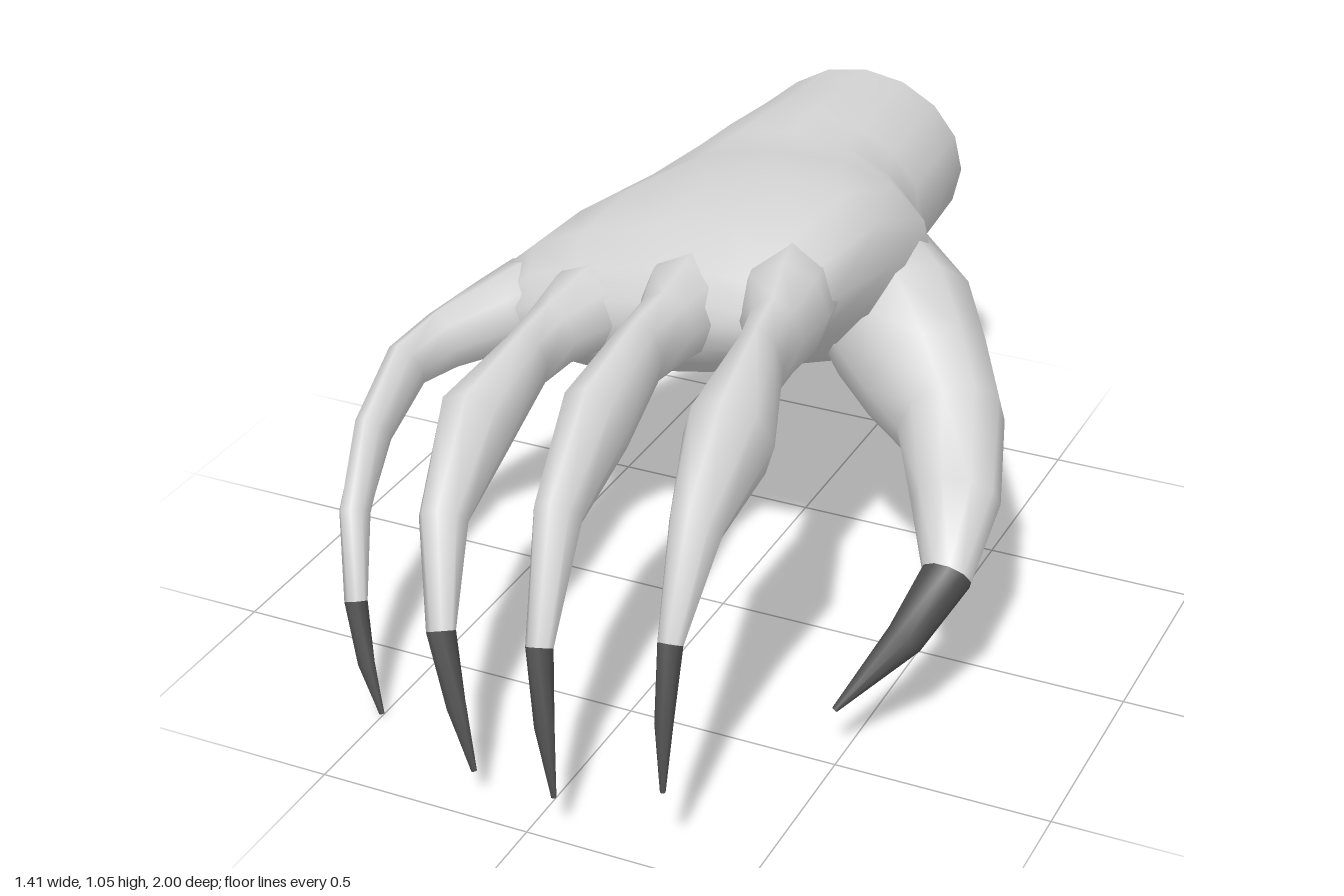
import * as THREE from 'three';

const skin = new THREE.MeshStandardMaterial({ color: 0xd4d4d4, side: THREE.DoubleSide });
skin.name = 'greySkin';
const claw = new THREE.MeshStandardMaterial({ color: 0x505050 });
claw.name = 'darkClaw';

// Skins a list of equal-length rings; the far end is closed with a fan.
function skinRings(rings) {
  const n = rings[0].length, pos = [], idx = [];
  rings.forEach(r => r.forEach(p => pos.push(p.x, p.y, p.z)));
  for (let i = 0; i < rings.length - 1; i++) {
    for (let j = 0; j < n; j++) {
      const a = i * n + j, b = i * n + (j + 1) % n;
      idx.push(a, b, a + n, b, b + n, a + n);
    }
  }
  const last = rings[rings.length - 1];
  const mid = last.reduce((s, p) => s.add(p), new THREE.Vector3()).divideScalar(n);
  pos.push(mid.x, mid.y, mid.z);
  const start = (rings.length - 1) * n;
  for (let j = 0; j < n; j++) idx.push(start + j, start + (j + 1) % n, start + n);
  const g = new THREE.BufferGeometry();
  g.setAttribute('position', new THREE.Float32BufferAttribute(pos, 3));
  g.setIndex(idx);
  g.computeVertexNormals();
  return g;
}

// Elliptical rings square to a path of [x, y, z, halfWidth, halfHeight].
function pathRings(path, sides) {
  const pts = path.map(p => new THREE.Vector3(p[0], p[1], p[2]));
  const worldUp = new THREE.Vector3(0, 1, 0);
  return path.map((p, i) => {
    const before = pts[Math.max(i - 1, 0)], after = pts[Math.min(i + 1, pts.length - 1)];
    const t = after.clone().sub(before).normalize();
    const side = worldUp.clone().cross(t).normalize();
    const up = t.clone().cross(side);
    return Array.from({ length: sides }, (_, j) => {
      const a = j / sides * Math.PI * 2;
      return pts[i].clone()
        .addScaledVector(side, Math.cos(a) * p[3])
        .addScaledVector(up, Math.sin(a) * p[4]);
    });
  });
}

// A digit path is fleshy except for its last two rings, which form the claw.
function makeDigit(name, path, sides) {
  const group = new THREE.Group();
  group.name = name;
  const rings = pathRings(path, sides), k = rings.length - 3;
  const flesh = new THREE.Mesh(skinRings(rings.slice(0, k + 1)), skin);
  flesh.name = name + 'Flesh';
  const nail = new THREE.Mesh(skinRings(rings.slice(k)), claw);
  nail.name = name + 'Claw';
  group.add(flesh, nail);
  return group;
}

// Forearm stump, wrist and palm:
// [z, centreX, halfWidth, centreY, halfHeight, tilt, shear, roundness]
const palmSections = [
  [-1.00, -0.065, 0.265, 0.775, 0.225, 0, 0, 1],
  [-0.82, -0.06, 0.28, 0.785, 0.225, 0, 0, 1],
  [-0.64, -0.06, 0.30, 0.795, 0.225, 0, 0, 1],
  [-0.55, -0.07, 0.335, 0.765, 0.24, 0.04, 0, 0.95],
  [-0.42, -0.07, 0.42, 0.725, 0.28, 0.14, 0, 0.88],
  [-0.20, -0.125, 0.455, 0.765, 0.255, 0.26, 0, 0.85],
  [0.00, -0.165, 0.445, 0.785, 0.185, 0.23, 0.06, 0.85],
  [0.09, -0.16, 0.42, 0.785, 0.12, 0.22, 0.12, 0.85],
  [0.14, -0.15, 0.37, 0.785, 0.06, 0.22, 0.12, 0.85]
];

function makePalm() {
  const sides = 16;
  const soft = (v, e) => Math.sign(v) * Math.pow(Math.abs(v), e);
  const rings = palmSections.map(([z, cx, hw, cy, hh, tilt, shear, e]) =>
    Array.from({ length: sides }, (_, j) => {
      const a = j / sides * Math.PI * 2;
      const dx = soft(Math.cos(a), e) * hw;
      return new THREE.Vector3(cx + dx, cy + tilt * dx + soft(Math.sin(a), e) * hh, z + shear * dx);
    }));
  const mesh = new THREE.Mesh(skinRings(rings), skin);
  mesh.name = 'palmAndWrist';
  return mesh;
}

// Each digit starts thin inside the palm so that its knuckle rises gently.
const digits = {
  thumb: [
    [0.06, 0.74, -0.52, 0.10, 0.12],
    [0.18, 0.72, -0.43, 0.165, 0.19],
    [0.32, 0.67, -0.31, 0.18, 0.20],
    [0.42, 0.61, -0.21, 0.155, 0.175],
    [0.515, 0.555, -0.12, 0.125, 0.145],
    [0.605, 0.475, 0.08, 0.10, 0.09],
    [0.648, 0.385, 0.24, 0.058, 0.06],
    [0.60, 0.28, 0.36, 0.042, 0.045],
    [0.49, 0.14, 0.485, 0.007, 0.007]
  ],
  indexFinger: [
    [0.14, 0.87, -0.12, 0.07, 0.09],
    [0.17, 0.87, 0.00, 0.11, 0.13],
    [0.19, 0.87, 0.10, 0.105, 0.125],
    [0.22, 0.865, 0.22, 0.065, 0.105],
    [0.235, 0.86, 0.33, 0.055, 0.10],
    [0.27, 0.80, 0.56, 0.10, 0.13],
    [0.285, 0.70, 0.75, 0.06, 0.075],
    [0.30, 0.51, 0.91, 0.028, 0.03],
    [0.31, 0.35, 0.965, 0.02, 0.021],
    [0.318, 0.20, 0.99, 0.006, 0.007]
  ],
  middleFinger: [
    [-0.06, 0.84, -0.12, 0.07, 0.08],
    [-0.05, 0.84, 0.00, 0.115, 0.12],
    [-0.045, 0.84, 0.10, 0.11, 0.11],
    [-0.04, 0.835, 0.22, 0.07, 0.095],
    [-0.045, 0.83, 0.34, 0.058, 0.09],
    [-0.04, 0.775, 0.56, 0.08, 0.11],
    [-0.035, 0.65, 0.75, 0.055, 0.07],
    [0.005, 0.43, 0.925, 0.03, 0.03],
    [0.035, 0.27, 0.97, 0.022, 0.023],
    [0.063, 0.11, 0.99, 0.006, 0.007]
  ],
  ringFinger: [
    [-0.27, 0.78, -0.12, 0.07, 0.08],
    [-0.29, 0.775, 0.00, 0.115, 0.11],
    [-0.305, 0.77, 0.09, 0.105, 0.10],
    [-0.33, 0.755, 0.21, 0.066, 0.085],
    [-0.335, 0.745, 0.32, 0.055, 0.08],
    [-0.345, 0.69, 0.54, 0.09, 0.10],
    [-0.32, 0.56, 0.74, 0.055, 0.065],
    [-0.26, 0.37, 0.875, 0.032, 0.03],
    [-0.205, 0.22, 0.92, 0.023, 0.023],
    [-0.157, 0.08, 0.94, 0.006, 0.007]
  ],
  littleFinger: [
    [-0.45, 0.725, -0.14, 0.07, 0.08],
    [-0.50, 0.71, -0.03, 0.105, 0.105],
    [-0.55, 0.695, 0.07, 0.09, 0.095],
    [-0.62, 0.675, 0.20, 0.056, 0.08],
    [-0.66, 0.65, 0.30, 0.046, 0.07],
    [-0.66, 0.56, 0.46, 0.042, 0.06],
    [-0.64, 0.42, 0.59, 0.036, 0.045],
    [-0.592, 0.25, 0.685, 0.026, 0.028],
    [-0.55, 0.12, 0.725, 0.02, 0.02],
    [-0.503, 0.01, 0.748, 0.006, 0.007]
  ]
};

export function createModel() {
  const hand = new THREE.Group();
  hand.name = 'clawedHand';
  hand.add(makePalm());
  for (const [name, path] of Object.entries(digits)) {
    hand.add(makeDigit(name, path, name === 'thumb' ? 10 : 8));
  }
  return hand;
}
